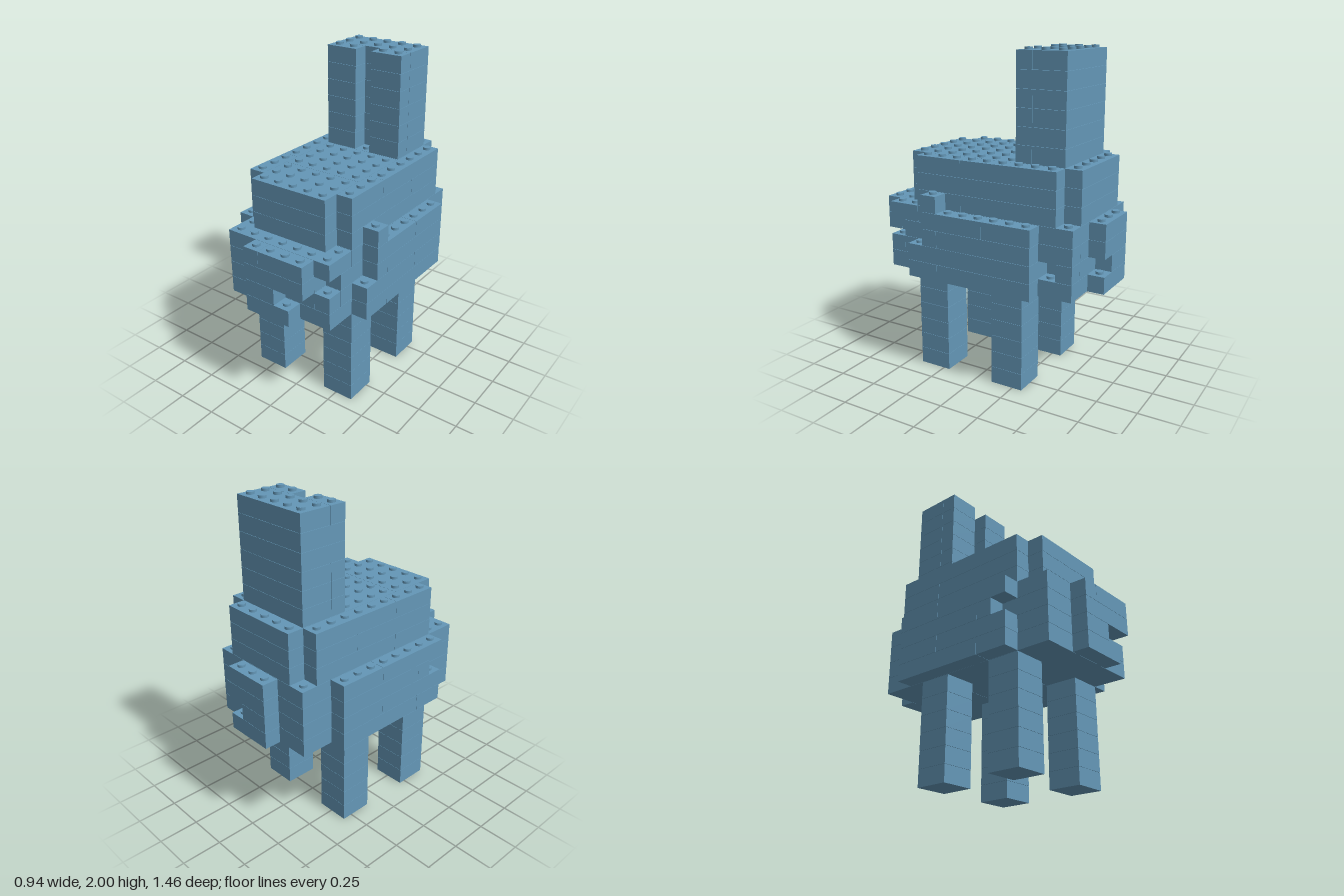
import * as THREE from 'three';

const U = 0.1045;     // stud pitch and brick height
const GAP = 0.0016;   // seam between neighbouring bricks

const blue = new THREE.MeshStandardMaterial({ color: 0x6497b7 });
blue.name = 'brick blue';

export function createModel() {
  const model = new THREE.Group();
  model.name = 'brickAnimal';
  const filled = new Set();
  const key = (x, y, z) => `${x},${y},${z}`;
  const groups = {};

  const part = (name) => {
    if (!groups[name]) {
      groups[name] = new THREE.Group();
      groups[name].name = name;
      model.add(groups[name]);
    }
    return groups[name];
  };

  // One brick course, in stud units, cut into lengths along z
  const course = (name, row, x0, x1, z0, z1, cut = 20) => {
    for (let a = z0; a < z1;) {
      const b = Math.min(z1, a === z0 && row % 2 ? a + Math.ceil(cut / 2) : a + cut);
      const brick = new THREE.Mesh(
        new THREE.BoxGeometry((x1 - x0) * U - GAP, U - GAP, (b - a) * U - GAP), blue);
      brick.name = 'brick';
      brick.position.set((x0 + x1) / 2 * U, (row + 0.5) * U, (a + b) / 2 * U);
      part(name).add(brick);
      a = b;
    }
    for (let x = x0 + 0.5; x < x1; x++)
      for (let z = z0 + 0.5; z < z1; z++) filled.add(key(x, row, z));
  };
  const stack = (name, r0, r1, ...box) => {
    for (let r = r0; r < r1; r++) course(name, r, ...box);
  };

  // Legs
  for (const x of [-3.5, 1.5]) {
    stack('frontLeg', 0, 6, x, x + 2, 2, 4);
    stack('backLeg', 0, 6, x, x + 2, -3, -1);
  }

  // Lower body, with small openings at the corners
  course('lowerBody', 6, -3.5, 3.5, -6, 6, 4);
  course('lowerBody', 7, -3.5, 2.5, -6, 6, 4);
  course('lowerBody', 7, 2.5, 3.5, -6, -5);
  course('lowerBody', 7, 2.5, 3.5, -4, 6, 6);
  course('lowerBody', 8, -3.5, 2.5, -6, 6, 4);
  course('lowerBody', 8, 2.5, 3.5, -6, 5, 6);
  course('lowerBody', 9, -3.5, 3.5, -6, 6, 4);

  // Side panels
  stack('rightPanel', 6, 8, -4.5, -3.5, -4, 4, 6);
  course('rightPanel', 8, -4.5, -3.5, -4, 3, 6);
  course('rightPanel', 9, -4.5, -3.5, -4, 4, 6);
  stack('leftPanel', 6, 8, 3.5, 4.5, -4, 4, 6);
  stack('leftPanel', 8, 10, 3.5, 4.5, -4, 3, 6);
  course('leftPanel', 10, 3.5, 4.5, 2, 3);

  // Front and back bumps
  course('frontBump', 6, -1.5, 1.5, 6, 7);
  course('frontBump', 7, -1.5, 0.5, 6, 7);
  course('frontBump', 8, -1.5, 2.5, 6, 7);
  course('frontBump', 9, -1.5, -0.5, 6, 7);
  course('frontBump', 9, -0.5, 2.5, 6, 7);
  course('backBump', 6, -1.5, 1.5, -7, -6);
  course('backBump', 7, -1.5, 0.5, -7, -6);
  stack('backBump', 8, 10, -1.5, 1.5, -7, -6);

  // Upper body
  stack('upperBody', 10, 13, -2.5, 2.5, -6, 5, 4);
  stack('upperBody', 10, 13, -3.5, -2.5, -5, 4, 6);
  stack('upperBody', 10, 13, 2.5, 3.5, -5, 4, 6);

  // Tower with a slot down its front
  stack('tower', 13, 19, -2.5, 2.5, -5, -3);
  stack('tower', 13, 19, -2.5, -0.5, -3, -2);
  stack('tower', 13, 19, 0.5, 2.5, -3, -2);

  // Studs on every uncovered top
  const tops = [...filled].map((k) => k.split(',').map(Number))
    .filter(([x, y, z]) => !filled.has(key(x, y + 1, z)));
  const studGeo = new THREE.CylinderGeometry(0.0235, 0.0235, 0.016, 16);
  for (const [x, y, z] of tops) {
    const stud = new THREE.Mesh(studGeo, blue);
    stud.name = 'stud';
    stud.position.set(x * U, (y + 1) * U + 0.0065, z * U);
    part('studs').add(stud);
  }
  return model;
}
